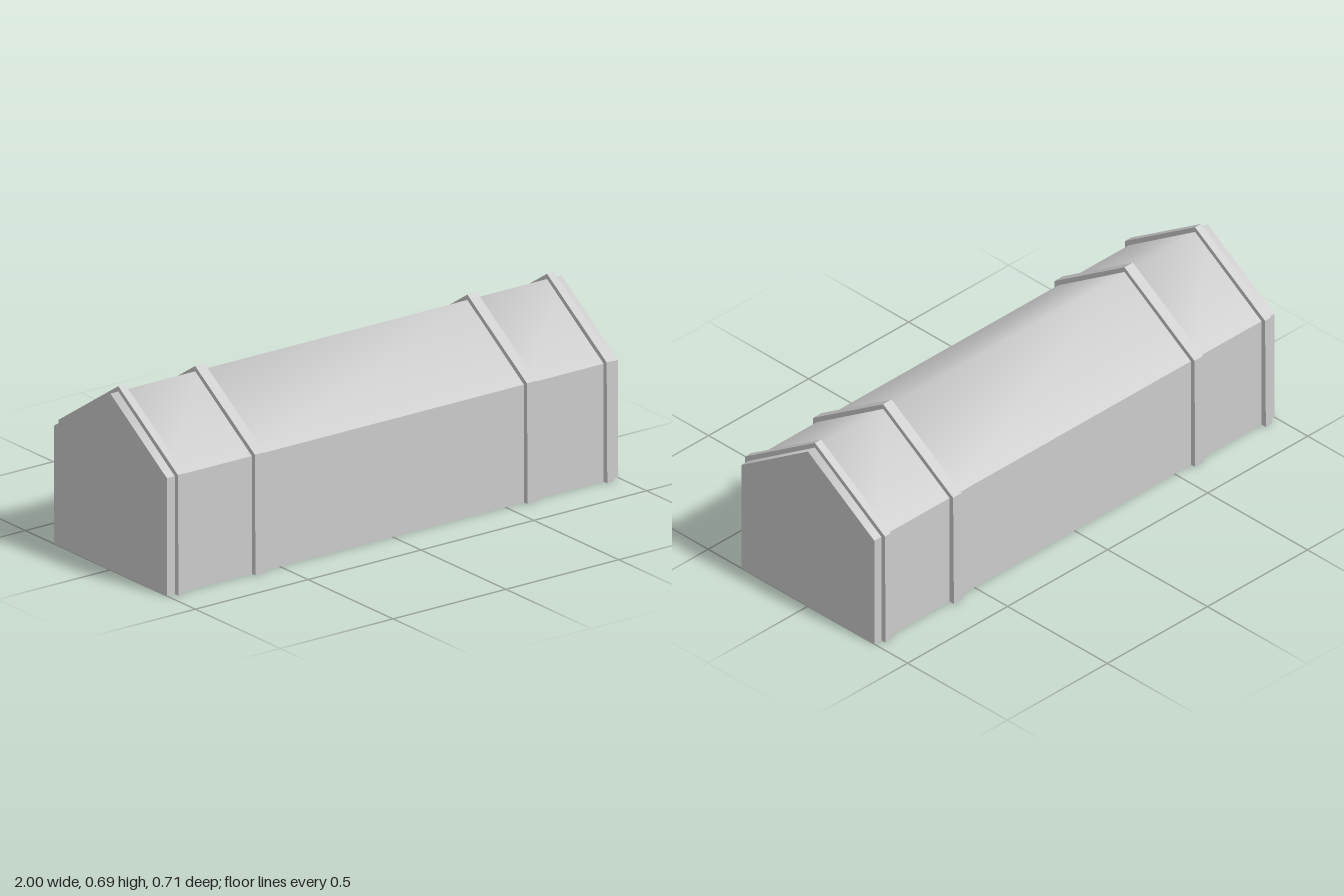
import * as THREE from 'three';

const HALF = 0.333, EAVE = 0.445, RIDGE = 0.666;

const material = new THREE.MeshStandardMaterial({ color: 0xcccccc, side: THREE.DoubleSide });

function addMesh(parent, name, geometry) {
  const mesh = new THREE.Mesh(geometry, material);
  mesh.name = name;
  parent.add(mesh);
  return mesh;
}

// House-shaped outline in (z, y), open along the ground
function outline(foot, half, eave, ridge) {
  return [[foot, 0], [half, eave], [0, ridge], [-half, eave], [-foot, 0]];
}

// Sheet swept along x from a (z, y) profile; normals stay smooth across the profile
function sheet(profile, x0, x1) {
  const positions = [], index = [];
  profile.forEach(([z, y], i) => {
    positions.push(x0, y, z, x1, y, z);
    if (i) {
      const a = 2 * (i - 1);
      index.push(a, a + 1, a + 3, a, a + 3, a + 2);
    }
  });
  const geometry = new THREE.BufferGeometry();
  geometry.setAttribute('position', new THREE.Float32BufferAttribute(positions, 3));
  geometry.setIndex(index);
  geometry.computeVertexNormals();
  return geometry;
}

// Rib frame that wraps the walls and roof and shows a little inside
function ribGeometry(width) {
  const outer = outline(0.355, 0.351, 0.455, 0.686);
  const inner = outline(0.32, 0.32, 0.437, 0.65).reverse();
  const shape = new THREE.Shape([...outer, ...inner].map(([z, y]) => new THREE.Vector2(z, y)));
  const geometry = new THREE.ExtrudeGeometry(shape, { depth: width, bevelEnabled: false });
  geometry.translate(0, 0, -width / 2);
  geometry.rotateY(Math.PI / 2);
  return geometry;
}

export function createModel() {
  const model = new THREE.Group();
  model.name = 'gabledShelter';

  // Side walls
  addMesh(model, 'frontWall', sheet([[HALF, 0], [HALF, EAVE]], -1, 1));
  addMesh(model, 'backWall', sheet([[-HALF, EAVE], [-HALF, 0]], -1, 1));

  // Roof in three bays between the ribs
  const roofProfile = [[HALF, EAVE], [0, RIDGE], [-HALF, EAVE]];
  const bays = [-1, -0.605, 0.605, 1];
  for (let i = 0; i < 3; i++) {
    addMesh(model, 'roofBay' + (i + 1), sheet(roofProfile, bays[i], bays[i + 1]));
  }

  // Gable ends
  const gable = new THREE.Shape(
    outline(HALF, HALF, EAVE, RIDGE).map(([z, y]) => new THREE.Vector2(z, y)));
  for (const side of [-1, 1]) {
    const end = addMesh(model, side > 0 ? 'leftGable' : 'rightGable', new THREE.ShapeGeometry(gable));
    end.rotation.y = side * Math.PI / 2;
    end.position.x = side;

    // Ribs: a slim one by the gable and a wider one further in
    for (const [name, x, width] of [['endRib', 0.95, 0.03], ['middleRib', 0.603, 0.042]]) {
      addMesh(model, name, ribGeometry(width)).position.x = side * x;
    }
  }
  return model;
}
